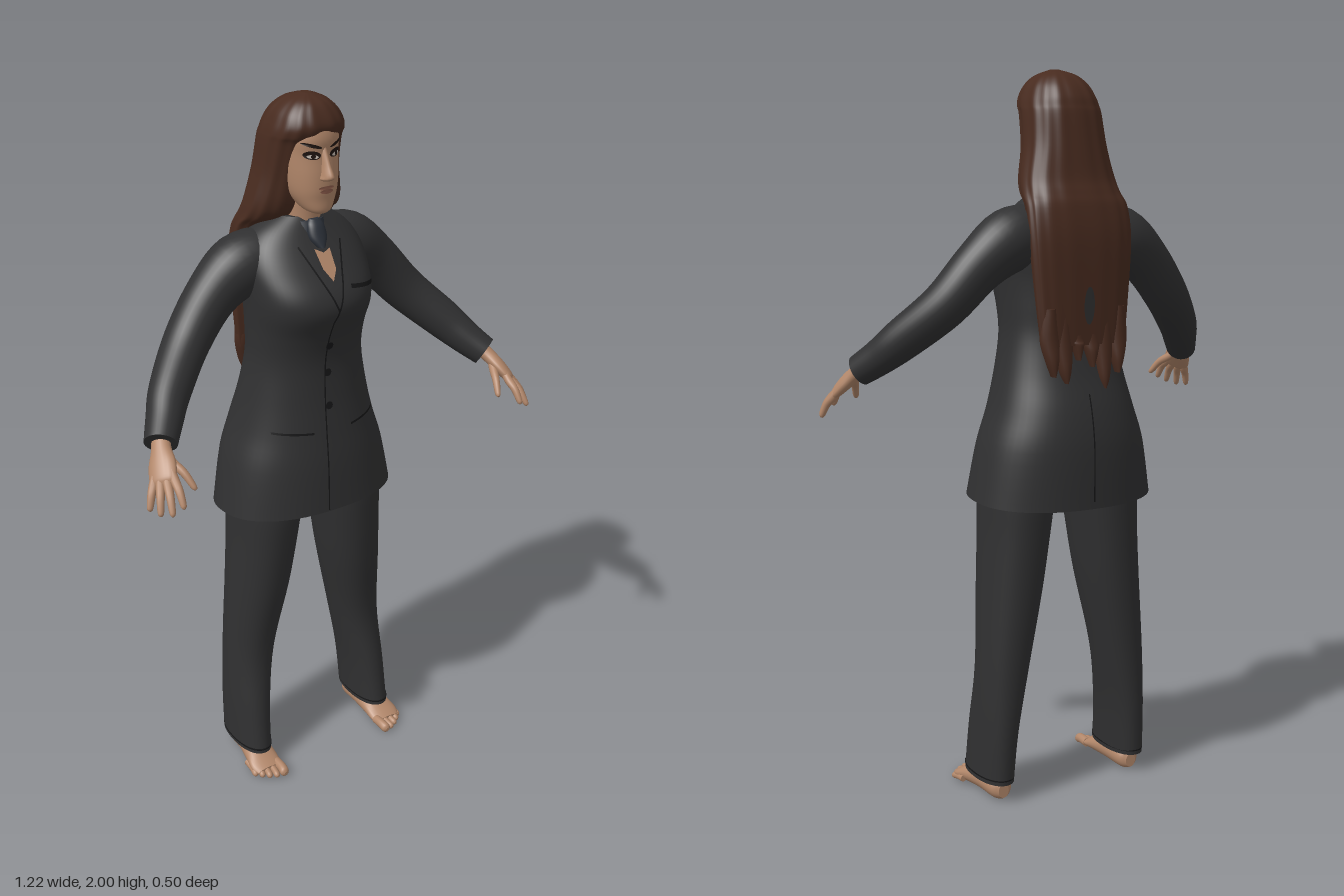
import * as THREE from 'three';

const mat = (name, color, side = THREE.FrontSide) => {
  const m = new THREE.MeshStandardMaterial({ color, side });
  m.name = name;
  return m;
};

// Catmull-Rom interpolation of rows of numbers
function spline(rows, steps) {
  const out = [], at = i => rows[Math.min(Math.max(i, 0), rows.length - 1)];
  for (let i = 0; i < rows.length - 1; i++) {
    for (let s = 0; s < steps; s++) {
      const t = s / steps;
      out.push(rows[i].map((b, k) => {
        const a = at(i - 1)[k], c = at(i + 1)[k], d = at(i + 2)[k];
        return b + 0.5 * t * (c - a + t * (2 * a - 5 * b + 4 * c - d + t * (3 * (b - c) + d - a)));
      }));
    }
  }
  out.push(rows[rows.length - 1]);
  return out;
}

// Skin over oval sections [x, y, z, a, b]; sections follow the path unless axis is fixed
function loft(rows, { n = 2, axis = null, side = [1, 0, 0], steps = 5, seg = 32, ripple = 0 } = {}) {
  const d = spline(rows, steps), pos = [], idx = [];
  const P = d.map(r => new THREE.Vector3(r[0], r[1], r[2]));
  const pw = v => Math.sign(v) * Math.pow(Math.abs(v), 2 / n);
  d.forEach((r, i) => {
    const w = axis ? new THREE.Vector3(...axis)
      : P[Math.min(i + 1, P.length - 1)].clone().sub(P[Math.max(i - 1, 0)]).normalize();
    const u = new THREE.Vector3(...side);
    u.addScaledVector(w, -u.dot(w)).normalize();
    const v = w.clone().cross(u);
    for (let j = 0; j < seg; j++) {
      const t = j / seg * Math.PI * 2, k = 1 + ripple * Math.sin(t * 15 + i * 0.08);
      const p = P[i].clone().addScaledVector(u, r[3] * k * pw(Math.cos(t))).addScaledVector(v, r[4] * k * pw(Math.sin(t)));
      pos.push(p.x, p.y, p.z);
    }
  });
  for (let i = 0; i < d.length - 1; i++) {
    for (let j = 0; j < seg; j++) {
      const a = i * seg + j, b = i * seg + (j + 1) % seg;
      idx.push(a, b, a + seg, b, b + seg, a + seg);
    }
  }
  // end caps with their own corners
  for (const i of [0, d.length - 1]) {
    const base = pos.length / 3;
    pos.push(P[i].x, P[i].y, P[i].z);
    for (let j = 0; j < seg; j++) pos.push(...pos.slice((i * seg + j) * 3, (i * seg + j) * 3 + 3));
    for (let j = 0; j < seg; j++) {
      const a = base + 1 + j, b = base + 1 + (j + 1) % seg;
      idx.push(base, ...(i ? [a, b] : [b, a]));
    }
  }
  const g = new THREE.BufferGeometry();
  g.setAttribute('position', new THREE.Float32BufferAttribute(pos, 3));
  g.setIndex(idx);
  g.computeVertexNormals();
  return g;
}

// Horizontal sections given as [y, half width, front z, back z, centre x]
const level = rows => rows.map(([y, rx, zf, zb, cx = 0]) => [cx, y, (zf + zb) / 2, rx, (zf - zb) / 2]);
const UP = [0, 1, 0];

// Lay a flat geometry onto the front (s = 1) or back (s = -1) of a lofted body
function project(geo, rows, n, off, s = 1) {
  const d = spline(rows, 5), p = geo.attributes.position;
  for (let i = 0; i < p.count; i++) {
    const x = p.getX(i) * s, y = p.getY(i);
    let k = 0;
    while (k < d.length - 2 && d[k + 1][1] < y) k++;
    const t = THREE.MathUtils.clamp((y - d[k][1]) / (d[k + 1][1] - d[k][1]), 0, 1);
    const r = d[k].map((v, m) => v + (d[k + 1][m] - v) * t);
    const q = Math.pow(Math.min(Math.abs(x) / r[3], 1), n);
    p.setXYZ(i, x, y, r[2] + s * (r[4] * Math.pow(1 - q, 1 / n) + off));
  }
  geo.computeVertexNormals();
  return geo;
}
const line = (x1, y1, x2, y2, w) => new THREE.PlaneGeometry(Math.hypot(x2 - x1, y2 - y1), w, 20, 1)
  .rotateZ(Math.atan2(y2 - y1, x2 - x1)).translate((x1 + x2) / 2, (y1 + y2) / 2, 0);
const oval = (x, y, rx, ry, tilt = 0) => new THREE.CircleGeometry(1, 20).scale(rx, ry, 1).rotateZ(tilt).translate(x, y, 0);
const poly = pts => new THREE.ShapeGeometry(new THREE.Shape(pts.map(p => new THREE.Vector2(...p))));

export function createModel() {
  const suit = mat('suit', 0x303031), seam = mat('seam', 0x161617), shirt = mat('shirt', 0x2b3038);
  const skin = mat('skin', 0xb2876a), hair = mat('hair', 0x482b1f), lips = mat('lips', 0x8c5c4b);
  const white = mat('eye white', 0xc8beb4), dark = mat('eye dark', 0x1f1511);
  const model = new THREE.Group();
  const add = (name, geo, m, parent = model) => {
    const mesh = new THREE.Mesh(geo, m);
    mesh.name = name;
    parent.add(mesh);
    return mesh;
  };

  // Jacket body, with the hem dipping at the back
  const torso = level([[0.86, 0.265, 0.127, -0.25], [1.0, 0.237, 0.115, -0.25], [1.1, 0.205, 0.1, -0.235],
    [1.2, 0.18, 0.086, -0.205], [1.3, 0.163, 0.08, -0.185], [1.38, 0.164, 0.095, -0.185], [1.45, 0.17, 0.122, -0.19],
    [1.5, 0.175, 0.114, -0.195], [1.56, 0.178, 0.072, -0.195], [1.61, 0.163, 0.036, -0.185],
    [1.65, 0.128, 0.01, -0.17], [1.685, 0.07, -0.01, -0.13]]);
  const TN = 2.3;
  const jacket = loft(torso, { n: TN, axis: UP, seg: 56 }), jp = jacket.attributes.position;
  for (let i = 0; i < jp.count; i++) {
    const y = jp.getY(i);
    if (y < 1) jp.setY(i, y + jp.getZ(i) * 0.08 * (1 - y) / 0.14);
  }
  jacket.computeVertexNormals();
  add('jacket', jacket, suit);
  const onTorso = (name, geo, m, off = 0.003, s = 1) => add(name, project(geo, torso, TN, off, s), m);

  // Jacket details
  onTorso('frontClosure', line(-0.03, 0.875, -0.012, 1.43, 0.004), seam);
  onTorso('lapelEdge', line(-0.012, 1.43, 0.065, 1.62, 0.005), seam);
  onTorso('lapelEdge', line(0, 1.46, -0.065, 1.62, 0.005), seam);
  onTorso('breastPocket', line(0.05, 1.515, 0.145, 1.498, 0.01), seam);
  onTorso('backVent', line(0, 0.86, 0, 1.15, 0.004), seam, 0.003, -1);
  for (const s of [-1, 1]) onTorso('hipPocket', line(s * 0.06, 1.108, s * 0.165, 1.116, 0.006), seam);
  for (const y of [1.18, 1.275, 1.355]) onTorso('button', oval(-0.01, y, 0.011, 0.011), seam, 0.006);
  onTorso('chest', poly([[-0.024, 1.612], [-0.018, 1.565], [0.0, 1.535], [0.02, 1.56], [0.022, 1.608], [0, 1.6]]), skin, 0.006);

  // Neck, shirt collar and knot
  add('neck', loft(level([[1.6, 0.055, -0.005, -0.12], [1.68, 0.05, 0, -0.11], [1.76, 0.053, 0.01, -0.11]]), { axis: UP }), skin);
  add('shirtCollar', loft(level([[1.59, 0.07, 0.02, -0.13], [1.64, 0.068, 0.018, -0.13], [1.675, 0.06, 0.005, -0.125]]), { axis: UP }), shirt);
  add('collarKnot', loft(level([[1.612, 0.012, 0.05, 0.01], [1.635, 0.026, 0.04, 0], [1.665, 0.024, 0.026, -0.01], [1.68, 0.014, 0.012, -0.01]]), { axis: UP }), shirt);

  // Head and face
  const head = level([[1.704, 0.018, 0.045, 0.005], [1.714, 0.037, 0.054, -0.03], [1.742, 0.056, 0.056, -0.07],
    [1.77, 0.067, 0.059, -0.1], [1.81, 0.074, 0.058, -0.12], [1.86, 0.078, 0.053, -0.13], [1.9, 0.077, 0.056, -0.13],
    [1.94, 0.066, 0.042, -0.12], [1.97, 0.04, 0.01, -0.09]]);
  add('head', loft(head, { n: 2.2, axis: UP, seg: 40 }), skin);
  const onHead = (name, geo, m, off) => add(name, project(geo, head, 2.2, off), m);
  add('nose', loft(level([[1.794, 0.012, 0.066, 0.03], [1.8, 0.018, 0.083, 0.03], [1.81, 0.015, 0.09, 0.03],
    [1.835, 0.011, 0.076, 0.03], [1.868, 0.009, 0.059, 0.03], [1.885, 0.006, 0.052, 0.03]]), { axis: UP, seg: 16 }), skin);
  onHead('upperLip', oval(0, 1.776, 0.023, 0.005), lips, 0.004);
  onHead('lowerLip', oval(0, 1.767, 0.019, 0.006), lips, 0.005);
  for (const s of [-1, 1]) {
    onHead('eyeLiner', oval(s * 0.034, 1.861, 0.021, 0.011, s * 0.12), dark, 0.002);
    onHead('eyeWhite', oval(s * 0.034, 1.858, 0.014, 0.005, s * 0.12), white, 0.004);
    onHead('iris', oval(s * 0.034, 1.859, 0.0055, 0.0055), dark, 0.006);
    onHead('eyebrow', oval(s * 0.036, 1.886, 0.025, 0.0045, s * 0.28), dark, 0.004);
  }

  // Long hair falling down the back
  const hairRows = level([[1.18, 0.045, -0.17, -0.2], [1.28, 0.128, -0.165, -0.213], [1.4, 0.14, -0.15, -0.218],
    [1.55, 0.152, -0.13, -0.222], [1.64, 0.15, -0.1, -0.212], [1.68, 0.142, -0.045, -0.2], [1.72, 0.134, -0.02, -0.187],
    [1.8, 0.115, 0, -0.176], [1.88, 0.106, 0.027, -0.166], [1.905, 0.102, 0.046, -0.16], [1.93, 0.094, 0.054, -0.152],
    [1.96, 0.078, 0.042, -0.132], [1.985, 0.05, 0.02, -0.1], [2.0, 0.012, -0.02, -0.05]]);
  add('hair', loft(hairRows.slice(1), { n: 2.5, axis: UP, seg: 90, ripple: 0.012 }), hair);
  [[-0.105, 1.2], [-0.06, 1.16], [-0.02, 1.22], [0.025, 1.24], [0.065, 1.18], [0.105, 1.2]].forEach(([x, tip]) =>
    add('hairLock', loft(level([[tip, 0.004, -0.19, -0.218, x * 0.95], [tip + 0.04, 0.018, -0.18, -0.222, x * 0.97],
      [1.3, 0.028, -0.17, -0.215, x], [1.38, 0.02, -0.17, -0.214, x]]), { axis: UP, seg: 14 }), hair));
  add('hairGap', project(oval(0, 1.385, 0.016, 0.05), hairRows, 2.5, 0.005, -1), suit);

  // One side's limbs, mirrored for the other
  for (const s of [1, -1]) {
    const g = new THREE.Group();
    g.name = s > 0 ? 'leftLimbs' : 'rightLimbs';
    g.scale.x = s;
    model.add(g);

    add('sleeve', loft([[0.08, 1.575, -0.085, 0.075, 0.075], [0.17, 1.555, -0.095, 0.085, 0.085], [0.26, 1.49, -0.092, 0.07, 0.07],
      [0.35, 1.39, -0.068, 0.064, 0.062], [0.44, 1.3, -0.0, 0.056, 0.056], [0.485, 1.25, 0.05, 0.05, 0.048],
      [0.523, 1.212, 0.097, 0.045, 0.042]], { side: [0, 0, 1] }), suit, g);

    // Hand
    const across = [-0.5, 0.25, 0.6];
    add('palm', loft([[0.51, 1.228, 0.075, 0.026, 0.022], [0.528, 1.204, 0.108, 0.027, 0.02], [0.543, 1.178, 0.14, 0.038, 0.019],
      [0.557, 1.152, 0.168, 0.038, 0.015], [0.562, 1.143, 0.178, 0.028, 0.008]], { side: across, seg: 20 }), skin, g);
    [[[0.537, 1.16, 0.188], [0.542, 1.1, 0.248]], [[0.552, 1.152, 0.18], [0.572, 1.085, 0.243]],
      [[0.565, 1.146, 0.168], [0.592, 1.078, 0.215]], [[0.575, 1.142, 0.152], [0.605, 1.08, 0.18]],
      [[0.522, 1.185, 0.138], [0.488, 1.122, 0.212]]].forEach(([a, b], i) => {
      const at = t => a.map((v, k) => v + (b[k] - v) * t);
      const bend = at(0.55);
      bend[1] += 0.008;
      add(i < 4 ? 'finger' : 'thumb', loft([[...at(-0.25), 0.01, 0.01], [...at(0.1), 0.012, 0.012], [...bend, 0.0105, 0.0105],
        [...at(0.9), 0.008, 0.008], [...at(1), 0.003, 0.003]], { side: across, seg: 12, steps: 4 }), skin, g);
    });

    // Trouser leg
    add('trouserLeg', loft(level([[0.055, 0.051, 0.065, -0.148, 0.215], [0.2, 0.056, 0.043, -0.155, 0.208],
      [0.38, 0.068, 0.02, -0.16, 0.188], [0.6, 0.084, 0.048, -0.17, 0.159], [0.75, 0.091, 0.064, -0.178, 0.143],
      [0.87, 0.098, 0.072, -0.185, 0.132], [0.98, 0.11, 0.06, -0.18, 0.115]]), { n: 2.2, axis: UP }), suit, g);
    add('trouserHem', loft(level([[0.066, 0.052, 0.066, -0.149, 0.215], [0.07, 0.052, 0.066, -0.149, 0.215]]),
      { n: 2.2, axis: UP, steps: 1 }), seam, g);

    // Foot
    add('foot', loft([[0.212, 0.028, -0.122, 0.016, 0.02], [0.212, 0.034, -0.1, 0.034, 0.034], [0.213, 0.036, -0.03, 0.038, 0.036],
      [0.217, 0.03, 0.03, 0.045, 0.03], [0.22, 0.02, 0.07, 0.048, 0.019], [0.218, 0.014, 0.096, 0.04, 0.011]],
    { axis: [0, 0, 1], seg: 24 }), skin, g);
    for (let i = 0; i < 5; i++) {
      const x = [0.186, 0.209, 0.228, 0.245, 0.26][i], z = [0.138, 0.132, 0.122, 0.108, 0.092][i], r = i ? 0.0095 : 0.014;
      add('toe', loft([[x, 0.017, z - 0.06, r, r], [x, r + 0.004, z - 0.03, r, r], [x + 0.002, r, z - 0.008, r, r],
        [x + 0.002, r * 0.9, z, r * 0.4, r * 0.4]], { axis: [0, 0, 1], seg: 12, steps: 4 }), skin, g);
    }
  }
  return model;
}
